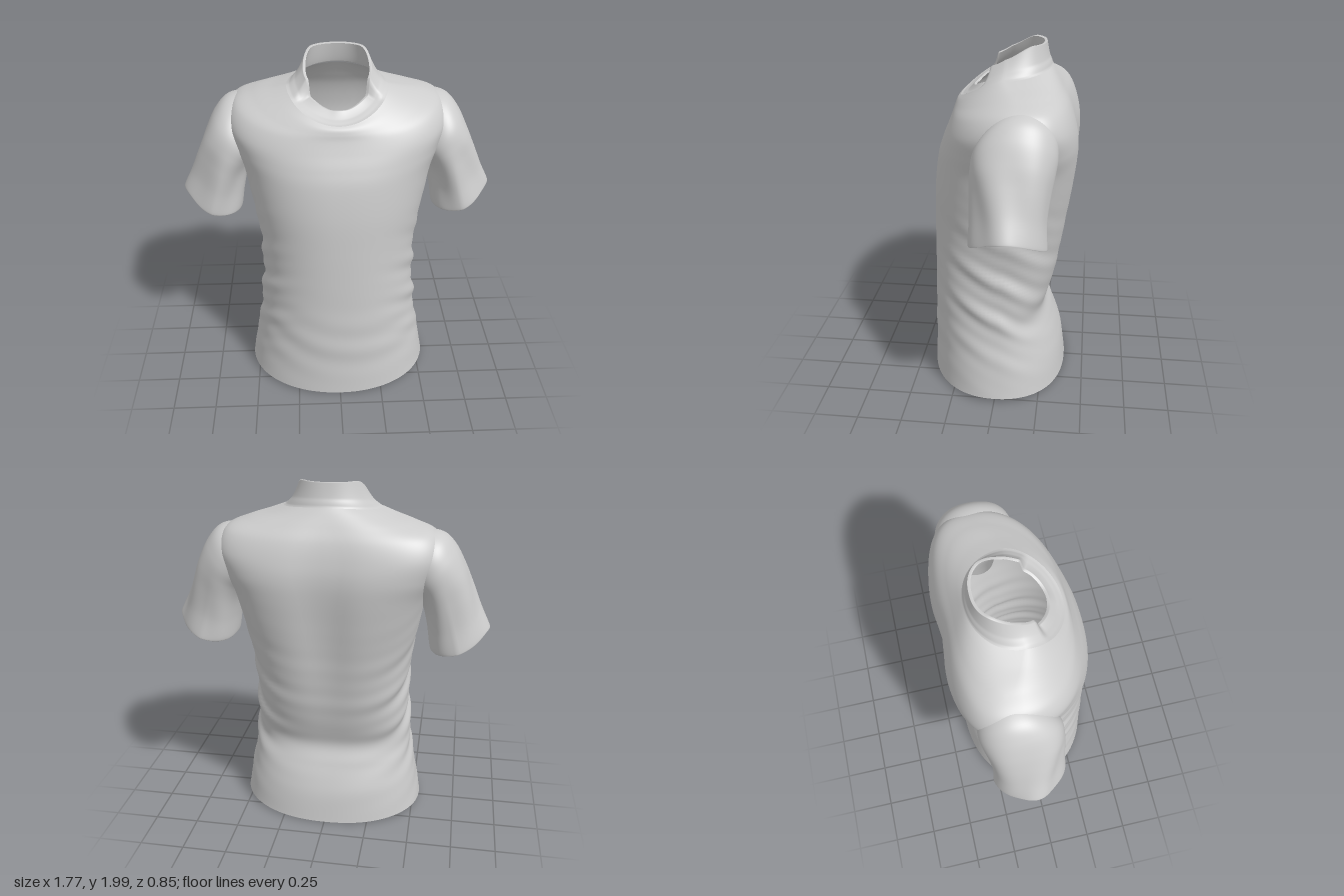
import * as THREE from 'three';

const { lerp, smoothstep } = THREE.MathUtils;
const spow = (v, e) => Math.sign(v) * Math.pow(Math.abs(v), e);
const bell = (v, c, r) => Math.exp(-(((v - c) / r) ** 2));

// Smooth interpolation through rows of section values, t from 0 to 1
function sample(rows, t) {
  const f = t * (rows.length - 1), i = Math.min(Math.floor(f), rows.length - 2), s = f - i;
  const row = (k) => rows[Math.max(0, Math.min(rows.length - 1, k))];
  return rows[0].map((_, c) => {
    const [a, b, d, e] = [row(i - 1)[c], row(i)[c], row(i + 1)[c], row(i + 2)[c]];
    return b + 0.5 * s * (d - a + s * (2 * a - 5 * b + 4 * d - e + s * (3 * (b - d) + e - a)));
  });
}

// Closed-round sheet: point(angle, t) with angle 0 at the front turning to +x
function loft(name, point, nu, nv, material) {
  const pos = [], index = [];
  for (let j = 0; j <= nv; j++)
    for (let i = 0; i < nu; i++) pos.push(...point((i / nu) * Math.PI * 2, j / nv));
  for (let j = 0; j < nv; j++)
    for (let i = 0; i < nu; i++) {
      const a = j * nu + i, b = j * nu + ((i + 1) % nu);
      index.push(a, b, b + nu, a, b + nu, a + nu);
    }
  const geo = new THREE.BufferGeometry();
  geo.setAttribute('position', new THREE.Float32BufferAttribute(pos, 3));
  geo.setIndex(index);
  geo.computeVertexNormals();
  const mesh = new THREE.Mesh(geo, material);
  mesh.name = name;
  return mesh;
}

// Torso sections: y front, y side, y back, half width, z front, z back, z centre, back roundness
const TORSO = [
  [0.015, 0.032, 0.005, 0.54, 0.42, -0.385, 0.0, 0.9],
  [0.2, 0.2, 0.2, 0.512, 0.412, -0.355, 0.0, 0.88],
  [0.36, 0.36, 0.35, 0.482, 0.41, -0.3, 0.0, 0.85],
  [0.48, 0.48, 0.47, 0.467, 0.408, -0.264, 0.0, 0.85],
  [0.62, 0.62, 0.61, 0.455, 0.403, -0.305, 0.0, 0.82],
  [0.8, 0.8, 0.8, 0.448, 0.4, -0.348, -0.01, 0.8],
  [1.0, 1.0, 1.0, 0.462, 0.395, -0.382, -0.03, 0.78],
  [1.2, 1.2, 1.2, 0.497, 0.385, -0.41, -0.05, 0.72],
  [1.38, 1.38, 1.4, 0.532, 0.36, -0.43, -0.07, 0.64],
  [1.48, 1.5, 1.52, 0.575, 0.33, -0.43, -0.09, 0.58],
  [1.56, 1.63, 1.62, 0.61, 0.297, -0.41, -0.11, 0.57],
  [1.625, 1.735, 1.71, 0.57, 0.272, -0.378, -0.12, 0.64],
  [1.66, 1.785, 1.78, 0.46, 0.262, -0.336, -0.1, 0.78],
  [1.685, 1.815, 1.84, 0.35, 0.252, -0.295, -0.05, 0.92],
  [1.7, 1.838, 1.872, 0.275, 0.235, -0.27, -0.02, 1],
];

function torsoPoint(a, t) {
  const [yF, yS, yB, w, zF, zB, zC, e] = sample(TORSO, t);
  const c = Math.cos(a), s = Math.sin(a), front = c > 0;
  const ex = front ? lerp(e, 1, 0.65) : e;
  const y = lerp(yS, front ? yF : yB, Math.pow(Math.abs(c), front ? 1.4 : 2));
  const x = w * spow(s, ex);
  let z = zC + (front ? zF - zC : zC - zB) * spow(c, ex);
  // hollow along the spine
  if (!front) z += 0.038 * bell(x, 0, 0.14) * bell(y, 1.2, 0.5);
  // folds sweeping down from the sides to the small of the back
  const mask = front ? s ** 4 : 0.2 + 0.8 * s * s;
  const fold = 0.008 * Math.sin(27 * y - 7 * c + 0.7 * s) + 0.005 * Math.sin(53 * y - 11 * c + 1 - s);
  const amount = mask * bell(y, 0.68, 0.36) * fold
    + 0.003 * (1 - mask) * bell(y, 0.35, 0.2) * Math.sin(30 * y + 4 * c * c + 3 * s);
  const k = 1 + amount / 0.42;
  return [x * k, y, z * k];
}

// Sleeve sections from cuff to shoulder: inner x, inner y, outer x, outer y, z front, z back, sag
const SLEEVE = [
  [0.57, 1.098, 0.87, 1.215, 0.088, -0.288, 0.034],
  [0.555, 1.085, 0.882, 1.21, 0.1, -0.3, 0.036],
  [0.54, 1.2, 0.83, 1.32, 0.095, -0.297, 0.025],
  [0.52, 1.3, 0.78, 1.45, 0.1, -0.308, 0.01],
  [0.49, 1.37, 0.735, 1.56, 0.105, -0.322, 0],
  [0.455, 1.41, 0.678, 1.665, 0.095, -0.332, 0],
  [0.42, 1.45, 0.605, 1.735, 0.05, -0.325, 0],
  [0.36, 1.5, 0.49, 1.755, -0.01, -0.29, 0],
  [0.3, 1.55, 0.39, 1.745, -0.05, -0.24, 0],
];

function sleevePoint(side) {
  return (angle, t) => {
    const a = angle * side, c = Math.cos(a), s = Math.sin(a);
    const [xi, yi, xo, yo, zF, zB, sag] = sample(SLEEVE, t);
    const u = 0.5 + 0.5 * s;
    // soft drapery along the sleeve, pinched to a ridge towards the outer cuff
    const k = 0.007 * bell(t, 0.3, 0.25) * Math.sin(5 * a + 6 * t);
    const pinch = 1 - 0.28 * Math.max(0, s) * (1 - smoothstep(t, 0.1, 0.55));
    const z = (zF + zB) / 2 + ((zF - zB) / 2) * spow(c, 0.95) * pinch + k * c;
    return [side * (lerp(xi, xo, u) + k * s), lerp(yi, yo, u) - sag * c * c, z];
  };
}

// Collar: low band at the throat, stepping up to a stand around the sides and back
function collarPoint(a, t) {
  const c = Math.cos(a), s = Math.sin(a), front = c > 0;
  const deg = (Math.acos(c) * 180) / Math.PI;
  const seamY = lerp(1.838, front ? 1.7 : 1.872, Math.pow(Math.abs(c), front ? 1.4 : 2));
  const seam = [0.276 * s, seamY, -0.02 + (front ? 0.256 : 0.252) * c];
  const low = 1.757 + 0.048 * smoothstep(deg, 10, 64);
  const high = 1.89 + 0.108 * smoothstep(deg, 58, 135);
  const topY = lerp(low, high, smoothstep(deg, 58, 66));
  const point = 1 + 0.25 * Math.max(0, c);
  const top = [0.183 * spow(s, 0.85 * point), topY, -0.03 + (front ? 0.19 : 0.205) * spow(c, front ? 1 : 0.85)];
  // outer face up, over the rolled edge, then down the inner face
  const inside = t > 0.55;
  const k = inside ? 1 - 0.85 * Math.max(0, (t - 0.6) / 0.4) : t / 0.55;
  const h = Math.pow(k, 0.6);
  const shrink = inside ? 0.93 : 1 + 0.015 * Math.sin(Math.PI * Math.min(1, k * 3));
  const x = lerp(seam[0], top[0], h) * shrink;
  const z = (lerp(seam[2], top[2], h) + 0.03) * shrink - 0.03;
  return [x, lerp(seam[1], top[1], k) + (inside ? -0.004 : 0), z];
}

export function createModel() {
  const fabric = new THREE.MeshStandardMaterial({ color: 0xcccccc, side: THREE.DoubleSide });
  fabric.name = 'light grey fabric';
  const shirt = new THREE.Group();
  shirt.name = 'shirt';
  shirt.add(
    loft('torso', torsoPoint, 120, 130, fabric),
    loft('leftSleeve', sleevePoint(1), 72, 60, fabric),
    loft('rightSleeve', sleevePoint(-1), 72, 60, fabric),
    loft('collar', collarPoint, 144, 40, fabric),
  );
  return shirt;
}
